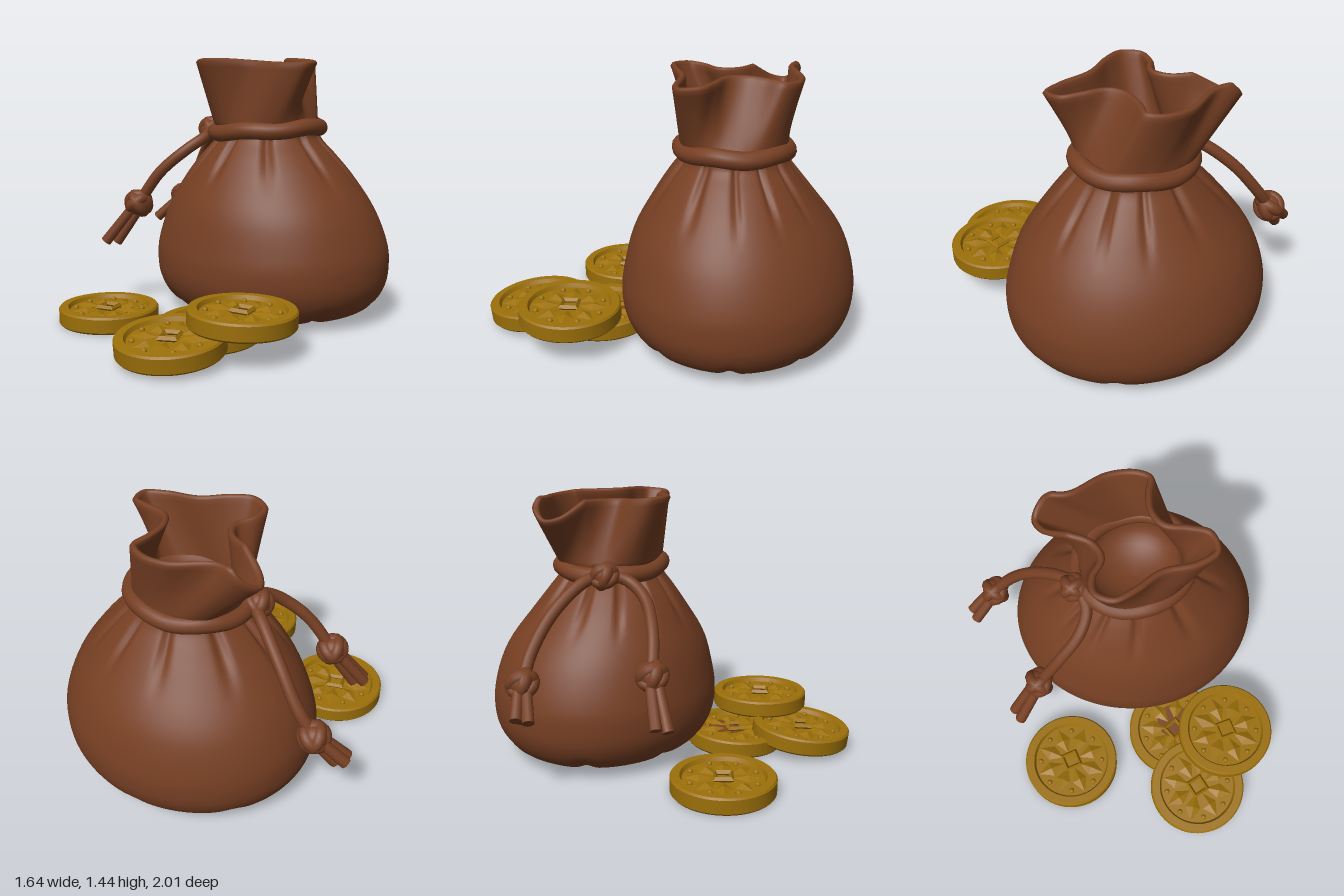
import * as THREE from 'three';
import { toCreasedNormals } from 'three/addons/utils/BufferGeometryUtils.js';

const V = (x, y, z) => new THREE.Vector3(x, y, z);
const paint = (name, color) => Object.assign(new THREE.MeshStandardMaterial({ color }), { name });
const leather = paint('brown leather', 0x763f23);
const gold = paint('old gold', 0x9c700a);
const rust = paint('reddish tarnish', 0x7a441f);

const N = 176;
const CX = 0.125;
const smooth = THREE.MathUtils.smoothstep;
const lerp = THREE.MathUtils.lerp;

function add(parent, name, geometry, material) {
  const mesh = new THREE.Mesh(geometry, material);
  mesh.name = name;
  parent.add(mesh);
  return mesh;
}

// Skin a stack of closed rings of N points each
function loft(rings) {
  const pos = [], index = [];
  rings.forEach(r => r.forEach(p => pos.push(p.x, p.y, p.z)));
  for (let j = 0; j < rings.length - 1; j++) {
    for (let i = 0; i < N; i++) {
      const k = (i + 1) % N, a = j * N + i, c = j * N + k;
      index.push(a, a + N, c, a + N, c + N, c);
    }
  }
  const g = new THREE.BufferGeometry();
  g.setAttribute('position', new THREE.Float32BufferAttribute(pos, 3));
  g.setIndex(index);
  g.computeVertexNormals();
  return g;
}

const ring = fn => Array.from({ length: N }, (_, i) => fn(i / N * Math.PI * 2, i));

// Pouch: belly, gathered neck, wavy open mouth and inner lining
function sackGeometry() {
  const rings = [];
  // profile points hold height, half width and half depth
  const profile = new THREE.CatmullRomCurve3([
    [0.03, 0, 0], [0.022, 0.22, 0.19], [0.015, 0.42, 0.37], [0.04, 0.54, 0.47], [0.1, 0.63, 0.555],
    [0.2, 0.685, 0.605], [0.3, 0.698, 0.617], [0.4, 0.69, 0.607], [0.6, 0.615, 0.55],
    [0.8, 0.48, 0.425], [0.92, 0.375, 0.34], [1.0, 0.302, 0.282], [1.04, 0.29, 0.27],
  ].map(p => V(...p)));
  for (let j = 0; j <= 60; j++) {
    const { x: y, y: rx, z: rz } = profile.getPoint(j / 60);
    const cz = -0.383 + 0.04 * smooth(y, 0.4, 1);
    const gather = 0.1 * smooth(y, 0.7, 0.98);
    const under = 0.014 * smooth(rx, 0.05, 0.3) * (1 - smooth(y, 0.05, 0.16));
    const skew = 1 - smooth(y, 0.55, 0.95);
    rings.push(ring(a => {
      const pleat = Math.max(0, Math.cos(11 * a + 1.5 * Math.sin(2 * a + 1))) ** 5;
      const crease = Math.abs(Math.cos(4 * a + 0.5 * Math.sin(a))) ** 24;
      const k = (1 - gather * pleat - under * crease) * (1 + 0.03 * skew * Math.sin(2 * a));
      return V(CX + rx * k * Math.cos(a), Math.max(0.01, y) + under * crease, cz + rz * k * Math.sin(a));
    }));
  }
  // mouth outline, running from the left side towards the front
  const mouth = new THREE.CatmullRomCurve3([
    [0.24, -0.4], [0.27, -0.32], [0.38, -0.27], [0.475, -0.21], [0.475, -0.09], [0.35, -0.05], [0.17, -0.06],
    [0.03, -0.01], [-0.1, 0.01], [-0.19, -0.07], [-0.17, -0.17], [-0.1, -0.25], [-0.12, -0.33], [-0.22, -0.41],
    [-0.32, -0.51], [-0.34, -0.6], [-0.26, -0.67], [-0.13, -0.64], [0.08, -0.69], [0.23, -0.66],
    [0.3, -0.59], [0.26, -0.49],
  ].map(([x, z]) => V(x, 0, z)), true).getSpacedPoints(N);
  const wall = (s, inset, lift = 0) => ring((a, i) => {
    const m = mouth[i], p = mouth[(i + N - 2) % N], q = mouth[(i + 2) % N];
    const n = V(p.z - q.z, 0, q.x - p.x).normalize();
    const top = 1.415 + 0.012 * Math.sin(3 * a + 1) - 0.8 * Math.max(0, -m.x - 0.21);
    const x = CX - 0.01 + (0.295 - inset) * Math.cos(a), z = -0.343 + (0.278 - inset) * Math.sin(a);
    return V(lerp(x, m.x + n.x * inset, s), lerp(1.04, top, s) + lift, lerp(z, m.z + n.z * inset, s));
  });
  for (let j = 1; j <= 14; j++) rings.push(wall(j / 14, 0));
  rings.push(wall(1, 0.008, 0.012), wall(1, 0.02, 0.016), wall(1, 0.03, 0.01));
  for (let j = 14; j >= 0; j--) rings.push(wall(j / 14, 0.036));
  // rounded inner floor
  for (let j = 1; j <= 8; j++) {
    const t = j / 8 * Math.PI / 2;
    rings.push(ring(a => V(CX - 0.01 + 0.255 * Math.cos(t) * Math.cos(a), 1.03 - 0.16 * Math.sin(t),
      -0.343 + 0.24 * Math.cos(t) * Math.sin(a))));
  }
  return loft(rings);
}

// Knot of wrapped cord
function knot(parent, name, at, r) {
  const g = new THREE.Group();
  g.name = name;
  g.position.copy(at);
  add(g, 'knotCore', new THREE.SphereGeometry(r * 0.85, 20, 14), leather);
  [[0.4, 0.3], [1.5, 0.7], [0.9, -0.9]].forEach(([x, y]) => {
    add(g, 'knotWrap', new THREE.TorusGeometry(r * 0.64, r * 0.4, 10, 24), leather).rotation.set(x, y, 0);
  });
  parent.add(g);
}

function drawstring(parent) {
  // band round the neck
  const loop = Array.from({ length: 24 }, (_, i) => {
    const a = i / 24 * Math.PI * 2, x = 0.3 * Math.cos(a);
    return V(0.115 + x, 1.045 + 0.065 * x + 0.006 * Math.sin(5 * a), -0.343 + 0.275 * Math.sin(a));
  });
  add(parent, 'neckCord', new THREE.TubeGeometry(new THREE.CatmullRomCurve3(loop, true), 96, 0.047, 14, true), leather);
  knot(parent, 'neckKnot', V(-0.23, 1.035, -0.31), 0.078);
  // two hanging ends, each with a knot and a split tassel
  const ends = [
    { path: [[-0.2, 1.04, -0.28], [-0.2, 1.0, -0.18], [-0.27, 0.93, -0.09], [-0.41, 0.8, -0.03], [-0.55, 0.61, -0.01]], tip: [-0.715, 0.375, 0.06] },
    { path: [[-0.21, 1.04, -0.33], [-0.29, 1.0, -0.42], [-0.42, 0.87, -0.54], [-0.54, 0.7, -0.62], [-0.635, 0.57, -0.64]], tip: [-0.79, 0.415, -0.6] },
  ];
  ends.forEach(({ path, tip }) => {
    const pts = path.map(p => V(...p)), foot = pts[4], end = V(...tip);
    add(parent, 'hangingCord', new THREE.TubeGeometry(new THREE.CatmullRomCurve3(pts), 40, 0.032, 12), leather);
    knot(parent, 'endKnot', foot, 0.084);
    const dir = end.clone().sub(foot).normalize();
    const u = V(0, 1, 0).cross(dir).normalize(), w = dir.clone().cross(u);
    for (let i = 0; i < 3; i++) {
      const a = i * Math.PI * 2 / 3 + 0.5;
      const side = u.clone().multiplyScalar(Math.cos(a)).addScaledVector(w, Math.sin(a));
      const from = foot.clone().addScaledVector(side, 0.02);
      const to = end.clone().addScaledVector(side, 0.034).addScaledVector(dir, i * -0.015);
      const strand = add(parent, 'tasselStrand', new THREE.CylinderGeometry(0.031, 0.028, from.distanceTo(to), 10), leather);
      strand.position.lerpVectors(from, to, 0.5);
      strand.quaternion.setFromUnitVectors(V(0, 1, 0), to.clone().sub(from).normalize());
    }
  });
}

// Coin with raised rim, petal rosette, studs and a square boss
const coinBody = toCreasedNormals(new THREE.LatheGeometry([
  [0, 0], [0.262, 0], [0.271, 0.01], [0.272, 0.082], [0.264, 0.092], [0.222, 0.092], [0.212, 0.07], [0, 0.07],
].map(p => new THREE.Vector2(...p)), 56), 0.5);
const petal = new THREE.OctahedronGeometry(1);
const stud = new THREE.SphereGeometry(0.015, 10, 8);
const boss = toCreasedNormals(new THREE.TorusGeometry(0.058, 0.016, 4, 4), 0.4);

function coin(x, y, z, tiltX, tiltZ, turn) {
  const g = new THREE.Group();
  g.name = 'coin';
  add(g, 'coinBody', coinBody, gold);
  for (let i = 0; i < 8; i++) {
    const a = i * Math.PI / 4;
    const p = add(g, 'petal', petal, gold);
    p.scale.set(0.078, 0.019, 0.044);
    p.position.set(0.128 * Math.cos(a), 0.071, 0.128 * Math.sin(a));
    p.rotation.y = -a;
    const b = a + Math.PI / 8;
    add(g, 'stud', stud, gold).position.set(0.182 * Math.cos(b), 0.072, 0.182 * Math.sin(b));
  }
  const frame = add(g, 'squareBoss', boss, gold);
  frame.position.y = 0.08;
  frame.rotation.set(-Math.PI / 2, 0, Math.PI / 4);
  g.position.set(x, y, z);
  g.rotation.set(tiltX, turn, tiltZ, 'XZY');
  return g;
}

export function createModel() {
  const model = new THREE.Group();
  model.name = 'coinPouch';
  add(model, 'sack', sackGeometry(), leather);
  drawstring(model);
  // the coin lying under the others is tarnished
  const buried = coin(0.14, 0.016, 0.355, 0.05, 0, 0.4);
  add(buried, 'tarnish', new THREE.CylinderGeometry(0.1, 0.1, 0.004, 20), rust).position.set(0.03, 0.071, -0.04);
  model.add(
    buried,
    coin(-0.51, 0.002, 0.343, 0, 0, 0.1),
    coin(0.148, 0.048, 0.727, 0.1, 0, 0.25),
    coin(0.403, 0.15, 0.488, 0, -0.025, 0.05),
  );
  return model;
}
